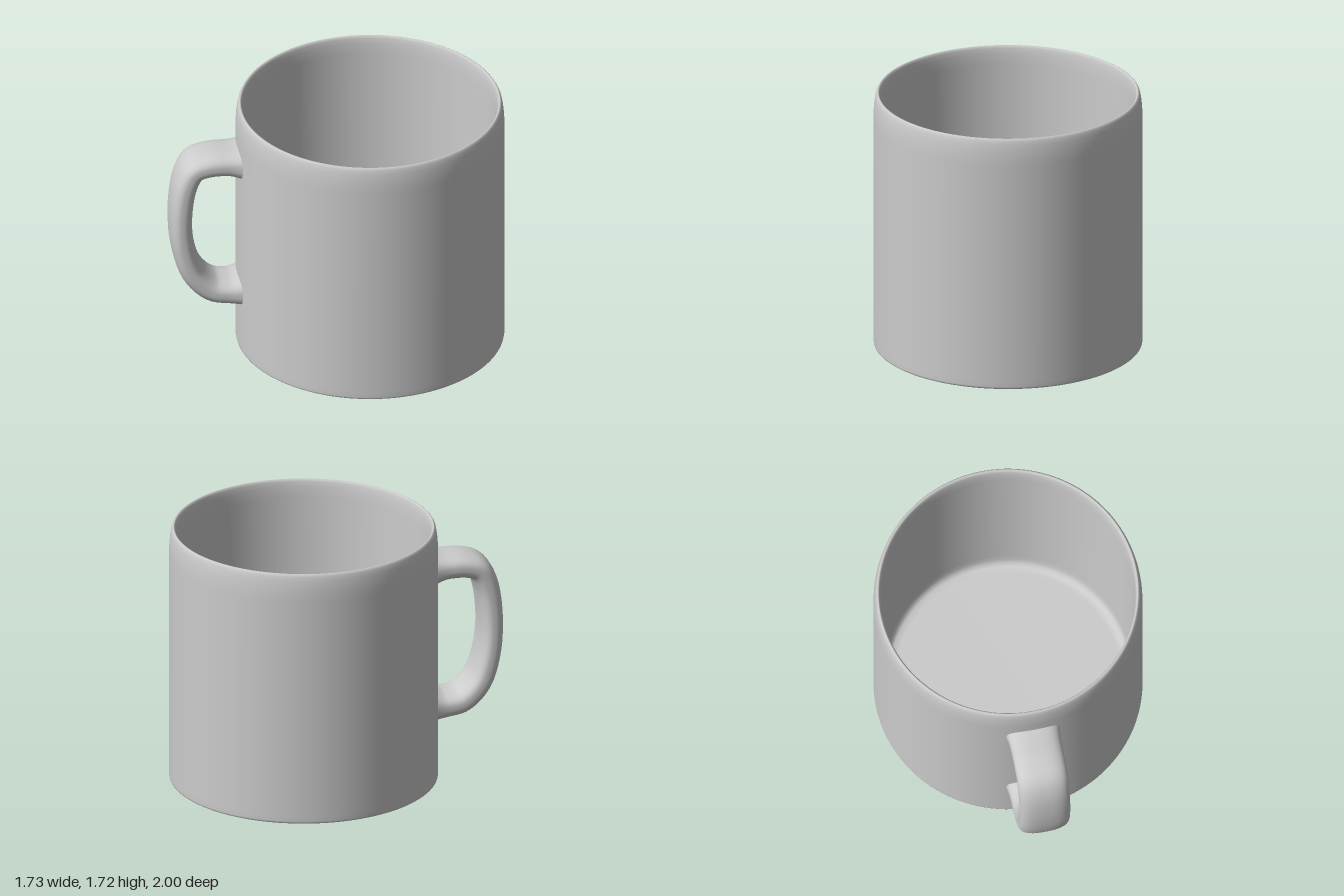
import * as THREE from 'three';
import { ParametricGeometry } from 'three/addons/geometries/ParametricGeometry.js';

const CUP_Z = -0.133;

export function createModel() {
  const model = new THREE.Group();
  const material = new THREE.MeshStandardMaterial({ color: 0xcccccc });

  // Cup: one closed profile, under the base, up the outside, over the rim, down inside
  const profile = [
    [0, 0], [0.845, 0], [0.858, 0.001], [0.865, 0.006], [0.867, 0.016], [0.867, 0.05],
    [0.867, 1.54], [0.866, 1.59], [0.863, 1.635], [0.858, 1.675], [0.852, 1.705],
    [0.845, 1.718], [0.838, 1.722], [0.831, 1.718], [0.825, 1.705], [0.82, 1.67],
    [0.815, 1.6], [0.802, 0.2], [0.799, 0.14], [0.79, 0.105], [0.77, 0.088], [0.73, 0.08], [0, 0.08],
  ].map(([r, y]) => new THREE.Vector2(r, y));
  const cup = new THREE.Mesh(new THREE.LatheGeometry(profile, 128), material);
  cup.name = 'cup';
  cup.position.z = CUP_Z;
  model.add(cup);

  // Handle: rounded-rectangle section swept along a planar path (x = distance from the cup axis)
  const path = new THREE.CatmullRomCurve3([
    [0.815, 1.365], [0.95, 1.375], [1.06, 1.37], [1.145, 1.34], [1.2, 1.24], [1.235, 1.0],
    [1.22, 0.76], [1.155, 0.56], [1.04, 0.445], [0.93, 0.422], [0.815, 0.425],
  ].map(([d, y]) => new THREE.Vector3(d, y, 0)), false, 'centripetal');

  const sweep = (u, v, target) => {
    const angle = u * Math.PI * 2;
    const c = Math.cos(angle), s = Math.sin(angle), n = 2.7;
    const r = (Math.abs(c) ** n + Math.abs(s) ** n) ** (-1 / n);
    const p = path.getPointAt(v), t = path.getTangentAt(v);
    // Flare where the handle meets the cup
    const flare = Math.max(0, 1 - Math.min(v, 1 - v) / 0.09) ** 2;
    const side = 0.073 + 0.01 * Math.abs(2 * v - 1) + 0.035 * flare;
    const width = 0.165 + 0.02 * flare;
    const k = r * c * side;
    target.set(p.x - t.y * k, p.y + t.x * k, r * s * width);
  };
  const handle = new THREE.Mesh(new ParametricGeometry(sweep, 40, 80), material);
  handle.name = 'handle';
  handle.position.z = CUP_Z;
  handle.rotation.y = Math.atan2(-0.815, -0.58);
  model.add(handle);

  return model;
}
